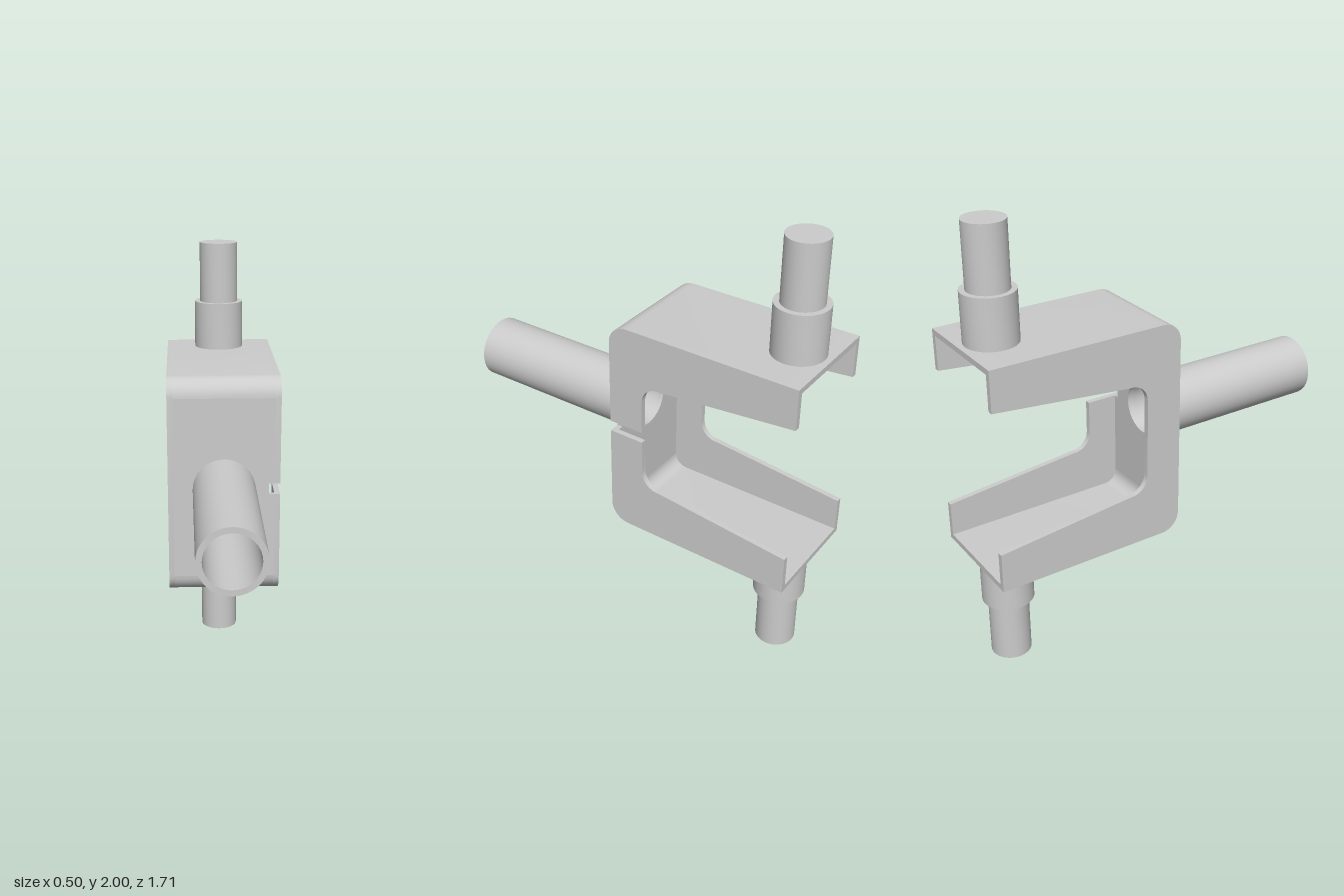
import * as THREE from 'three';
import { toCreasedNormals } from 'three/addons/utils/BufferGeometryUtils.js';

const MID = 1;          // height of the mirror plane
const T = 0.025;        // sheet thickness
const HALF = 0.25;      // half width of the bracket
const FRONT = 0.025, BACK = -0.855;
const BEND = 0.085;     // outer bend radius
const SLOT = 0.025;     // half height of the side slot

const material = new THREE.MeshStandardMaterial({ color: 0xcccccc });

function mesh(name, geometry) {
  const m = new THREE.Mesh(toCreasedNormals(geometry, 0.6), material);
  m.name = name;
  return m;
}

// Points of an arc, angles in degrees
function arc(cx, cy, r, from, to, n = 8) {
  return Array.from({ length: n + 1 }, (_, i) => {
    const a = THREE.MathUtils.degToRad(from + ((to - from) * i) / n);
    return [cx + r * Math.cos(a), cy + r * Math.sin(a)];
  });
}

// Extrudes a side profile of [z, height from the mid plane] from x0 to x1
function sidePlate(name, points, x0, x1) {
  const shape = new THREE.Shape(points.map(([z, h]) => new THREE.Vector2(z, MID + h)));
  const g = new THREE.ExtrudeGeometry(shape, { depth: x1 - x0, bevelEnabled: false });
  g.rotateY(-Math.PI / 2).translate(x1, 0, 0);
  return mesh(name, g);
}

const flip = (points) => points.map(([z, h]) => [z, -h]);

// Upper half of a flange, from the front edge round to the inner edge
const flangeHalf = [
  ...arc(FRONT - BEND, 0.5 - BEND, BEND, 0, 90),
  [BACK, 0.5], [BACK, 0.32],
  ...arc(-0.22, 0.18, 0.08, 95, 0),
];

// Bent arm sheet, ending where the flat web begins
const armProfile = [
  ...arc(FRONT - BEND, 0.5 - BEND, BEND, 0, 90),
  [BACK, 0.5], [BACK, 0.5 - T],
  ...arc(FRONT - BEND, 0.5 - BEND, BEND - T, 90, 0),
];

function createWeb() {
  const w = HALF - T, h = 0.5 - BEND;
  const shape = new THREE.Shape([
    [-w, -h], [w, -h], [w, -SLOT], [0.2, -SLOT],
    [0.2, SLOT], [w, SLOT], [w, h], [-w, h],
  ].map(([x, y]) => new THREE.Vector2(x, MID + y)));
  shape.holes.push(new THREE.Path().absarc(0, MID, 0.115, 0, Math.PI * 2, true));
  const g = new THREE.ExtrudeGeometry(shape, { depth: T, bevelEnabled: false, curveSegments: 16 });
  return mesh('web', g.translate(0, 0, FRONT - T));
}

function createPipe() {
  const ring = new THREE.Shape().absarc(0, MID, 0.14, 0, Math.PI * 2, false);
  ring.holes.push(new THREE.Path().absarc(0, MID, 0.115, 0, Math.PI * 2, true));
  const g = new THREE.ExtrudeGeometry(ring, { depth: 0.86 - FRONT, bevelEnabled: false, curveSegments: 16 });
  return mesh('pipe', g.translate(0, 0, FRONT));
}

// Stepped pivot pin, turned upside down for the lower arm
function createPin(s) {
  const profile = [[0, 0.5], [0.115, 0.5], [0.115, 0.72], [0.09, 0.72], [0.09, 1], [0, 1]];
  const g = new THREE.LatheGeometry(profile.map(([r, y]) => new THREE.Vector2(r, y)), 32);
  if (s < 0) g.rotateX(Math.PI);
  return mesh(s > 0 ? 'upperPin' : 'lowerPin', g.translate(0, MID, -0.715));
}

export function createModel() {
  const group = new THREE.Group();
  group.name = 'pivotBracket';

  group.add(createWeb(), createPipe());

  // Unbroken flange on the right
  const full = [...flangeHalf, ...flip(flangeHalf).reverse()];
  group.add(sidePlate('rightFlange', full, -HALF, -HALF + T));

  // Arms, pins and the left flange, which the slot splits in two
  const split = [[FRONT, SLOT], ...flangeHalf, [-0.14, SLOT]];
  for (const s of [1, -1]) {
    const side = s > 0 ? 'upper' : 'lower';
    const pick = (p) => (s > 0 ? p : flip(p));
    group.add(
      sidePlate(side + 'Arm', pick(armProfile), -HALF + T, HALF - T),
      sidePlate(side + 'LeftFlange', pick(split), HALF - T, HALF),
      createPin(s),
    );
  }
  return group;
}
